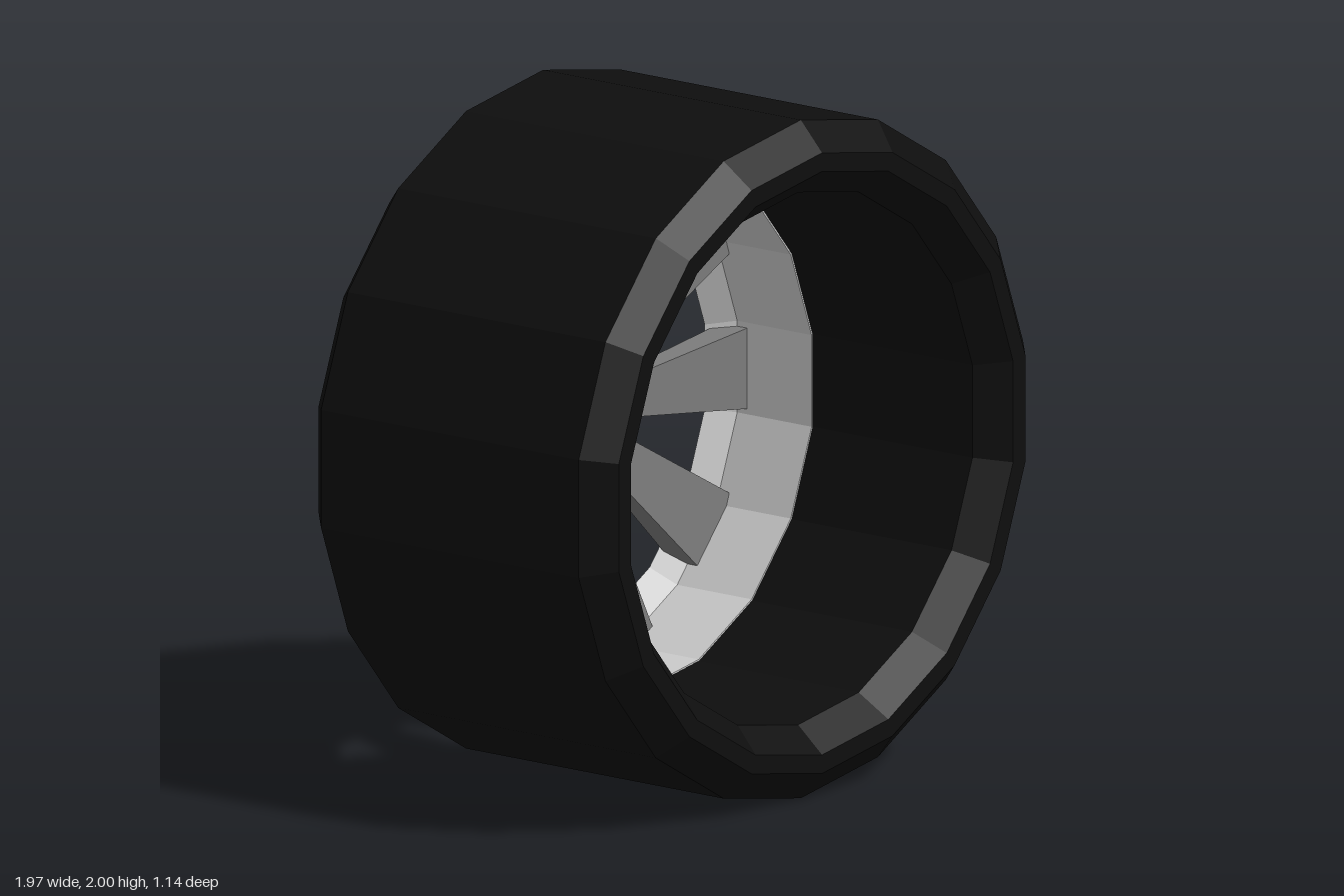
import * as THREE from 'three';

const paint = (color) => new THREE.MeshStandardMaterial({ color, flatShading: true, side: THREE.DoubleSide });

// Closed [radius, z] profile spun around the z axis
function spin(name, profile, sides, material) {
  const points = profile.map(([r, z]) => new THREE.Vector2(r, z));
  const geometry = new THREE.LatheGeometry(points, sides).rotateX(Math.PI / 2);
  const mesh = new THREE.Mesh(geometry, material);
  mesh.name = name;
  return mesh;
}

// Box that widens and thickens from the hub towards the rim
function spokeGeometry() {
  const inner = 0.24, outer = 0.775;
  const geometry = new THREE.BoxGeometry(1, 1, 1);
  const p = geometry.attributes.position;
  for (let i = 0; i < p.count; i++) {
    const end = p.getX(i) > 0;
    p.setXYZ(i, end ? outer : inner,
      p.getY(i) * (end ? 0.24 : 0.11),
      -0.412 + p.getZ(i) * (end ? 0.1 : 0.05));
  }
  geometry.computeVertexNormals();
  return geometry;
}

export function createModel() {
  const model = new THREE.Group();
  model.name = 'wheel';
  const wheel = new THREE.Group();
  wheel.name = 'wheelAssembly';
  wheel.position.y = 1;
  model.add(wheel);

  const rubber = paint(0x0e0e0e);
  const silver = paint(0xcccccc);
  const grey = paint(0x7c7c7c);

  // Wide tyre with chamfered shoulders
  wheel.add(spin('tyre', [
    [0.785, -0.47], [0.86, -0.56], [0.915, -0.56], [1, -0.48],
    [1, 0.49], [0.915, 0.57], [0.86, 0.57], [0.785, 0.48], [0.785, -0.47],
  ], 18, rubber));

  // Rim barrel with an inward lip at the back
  wheel.add(spin('rim', [
    [0.715, -0.47], [0.783, -0.47], [0.783, -0.12], [0.778, -0.12],
    [0.778, -0.4], [0.715, -0.47],
  ], 18, silver));

  // Hub cup, open to the front
  wheel.add(spin('hub', [
    [0, -0.47], [0.265, -0.47], [0.265, -0.35], [0.25, -0.35], [0.25, -0.45], [0, -0.45],
  ], 10, grey));

  // Axle cap standing out at the back
  wheel.add(spin('axleCap', [
    [0, -0.575], [0.125, -0.575], [0.125, -0.44], [0, -0.44],
  ], 10, grey));

  // Ten spokes
  const geometry = spokeGeometry();
  for (let i = 0; i < 10; i++) {
    const spoke = new THREE.Mesh(geometry, grey);
    spoke.name = `spoke${i + 1}`;
    spoke.rotation.z = (i * Math.PI) / 5;
    wheel.add(spoke);
  }
  return model;
}
